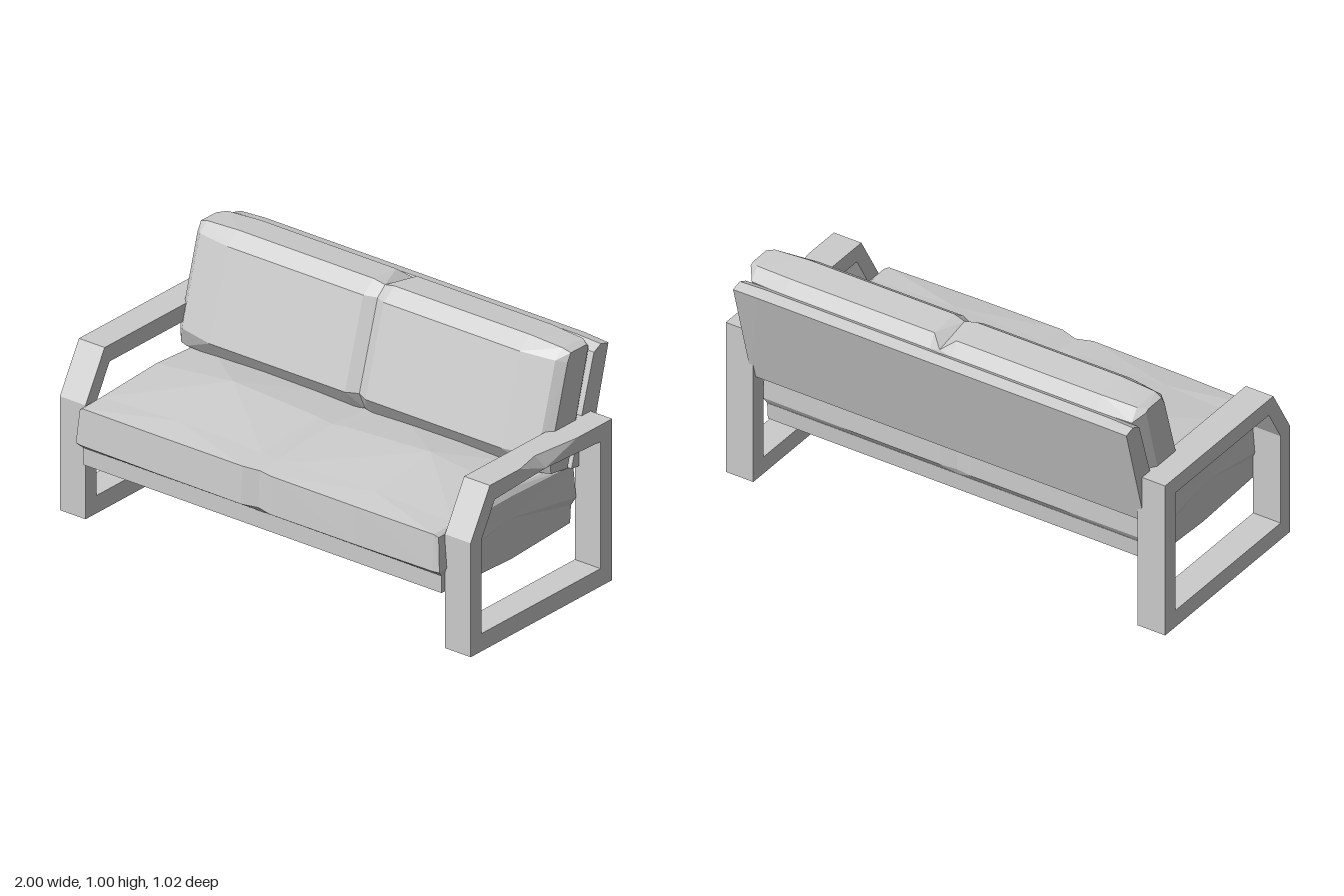
import * as THREE from 'three';

const material = new THREE.MeshStandardMaterial({ color: 0xcccccc, flatShading: true });

function addMesh(parent, geometry, name) {
  const mesh = new THREE.Mesh(geometry, material);
  mesh.name = name;
  parent.add(mesh);
}

// Skins a row of closed sections; each quad is split so that it bulges outward.
// Sections along rising x run front - top - back - bottom.
function loft(sections, capped) {
  const pos = [];
  const tri = (...pts) => pts.forEach((p) => pos.push(p.x, p.y, p.z));
  const rings = sections.map((s) => s.map((p) => new THREE.Vector3(...p)));
  const n = rings[0].length;
  for (let i = 0; i < rings.length - 1; i++) {
    for (let j = 0; j < n; j++) {
      const k = (j + 1) % n;
      const a = rings[i][j], b = rings[i][k], c = rings[i + 1][k], d = rings[i + 1][j];
      const normal = d.clone().sub(a).cross(c.clone().sub(a));
      if (b.clone().sub(a).dot(normal) > 0) {
        tri(a, d, b);
        tri(b, d, c);
      } else {
        tri(a, d, c);
        tri(a, c, b);
      }
    }
  }
  if (capped) {
    const cap = (ring) => {
      const mid = new THREE.Vector3();
      ring.forEach((p) => mid.addScaledVector(p, 1 / n));
      ring.forEach((p, j) => tri(mid, p, ring[(j + 1) % n]));
    };
    cap(rings[0]);
    cap([...rings[rings.length - 1]].reverse());
  }
  const g = new THREE.BufferGeometry();
  g.setAttribute('position', new THREE.Float32BufferAttribute(pos, 3));
  g.computeVertexNormals();
  return g;
}

// Mirrors half the stations (centre first, x >= 0) to the other side.
function mirrored(half) {
  const other = half.slice(1).reverse().map((s) => s.map(([x, y, z]) => [-x, y, z]));
  return loft([...other, ...half], true);
}

// Closed side frame between x0 and x1; the dented one has a chipped outer top edge
function armFrame(x0, x1, dented) {
  const corner = (zo, yo, zi, yi) => [[x1, yo, zo], [x0, yo, zo], [x0, yi, zi], [x1, yi, zi]];
  const dent = [
    corner(0.155, 0.68, 0.305, 0.61),
    [[0.972, 0.68, 0.03], [x0, 0.68, 0.03], [x0, 0.61, 0], [x1, 0.625, 0]],
    corner(-0.19, 0.68, -0.33, 0.61),
  ];
  const first = corner(0.45, 0, 0.385, 0.075);
  return loft([
    first,
    corner(0.45, 0.48, 0.385, 0.47),
    corner(0.335, 0.68, 0.305, 0.61),
    ...(dented ? dent : []),
    corner(-0.4, 0.68, -0.33, 0.61),
    corner(-0.4, 0, -0.33, 0.075),
    first,
  ], false);
}

// Seat section: crown height, inset of front and back, lowered rim, flared foot
function seatSection(x, crown, inset, drop, flare = 0) {
  const rise = (k) => 0.49 - drop + (crown - 0.49 + drop) * k;
  return [
    [x, 0.31, 0.468],
    [x + flare, 0.337, 0.51 - inset],
    [x, 0.493 - drop, 0.5 - inset],
    [x, rise(0.35), 0.38],
    [x, crown, 0.05],
    [x, rise(0.3), -0.25],
    [x, 0.485 - drop, -0.33 + inset / 2],
    [x + flare, 0.342, -0.332 + inset / 2],
    [x, 0.312, -0.31],
    [x, 0.296, 0.05],
  ];
}

// Back cushion profiles as [z, y]
const backFull = [[-0.09, 0.585], [-0.2, 0.952], [-0.265, 0.997], [-0.4, 0.987],
  [-0.435, 0.93], [-0.295, 0.487], [-0.14, 0.505]];
const backCrease = [[-0.115, 0.585], [-0.225, 0.948], [-0.27, 0.985], [-0.44, 0.95],
  [-0.445, 0.93], [-0.295, 0.487], [-0.15, 0.51]];
const backRim = [[-0.118, 0.59], [-0.225, 0.95], [-0.268, 0.988], [-0.39, 0.982],
  [-0.425, 0.93], [-0.295, 0.488], [-0.145, 0.507]];
const backEnd = [[-0.15, 0.58], [-0.255, 0.94], [-0.275, 0.975], [-0.365, 0.974],
  [-0.38, 0.965], [-0.255, 0.495], [-0.155, 0.51]];

export function createModel() {
  const model = new THREE.Group();
  model.name = 'sofa';
  const section = (x, profile) => profile.map(([z, y]) => [x, y, z]);

  // Arm frames
  addMesh(model, armFrame(0.875, 1, true), 'leftArmFrame');
  addMesh(model, armFrame(-1, -0.875, false), 'rightArmFrame');

  // Seat cushion with a centre crease
  addMesh(model, mirrored([
    seatSection(0, 0.52, 0.018, 0.005),
    seatSection(0.07, 0.53, 0, 0),
    seatSection(0.48, 0.552, 0.002, 0.002),
    seatSection(0.855, 0.51, 0.008, 0.005),
    seatSection(0.873, 0.485, 0.014, 0.015, 0.012),
  ]), 'seatCushion');

  // Seat base, sagging slightly at its ends
  const baseSection = (x, sag) => section(x, [
    [0.468, 0.238], [0.468, 0.311], [-0.31, 0.311], [-0.305, 0.238], [0.05, 0.238 - sag]]);
  addMesh(model, mirrored([
    baseSection(0, 0.002), baseSection(0.48, 0.006), baseSection(0.872, 0.017),
  ]), 'seatBase');

  // Back cushion with a centre crease and chamfered ends
  addMesh(model, mirrored([
    section(0, backCrease),
    section(0.05, backFull),
    section(0.71, backFull),
    section(0.865, backRim),
    section(0.9, backEnd),
  ]), 'backCushion');

  // Back board
  const boardSection = (x, t) => section(x, [
    [-0.285, 0.48], [-0.42, 0.925 - t], [-0.462, 0.945 - t], [-0.512 + t, 0.933 - t], [-0.383, 0.47]]);
  addMesh(model, mirrored([
    boardSection(0, 0), boardSection(0.78, 0), boardSection(0.895, 0.005),
  ]), 'backBoard');

  return model;
}
